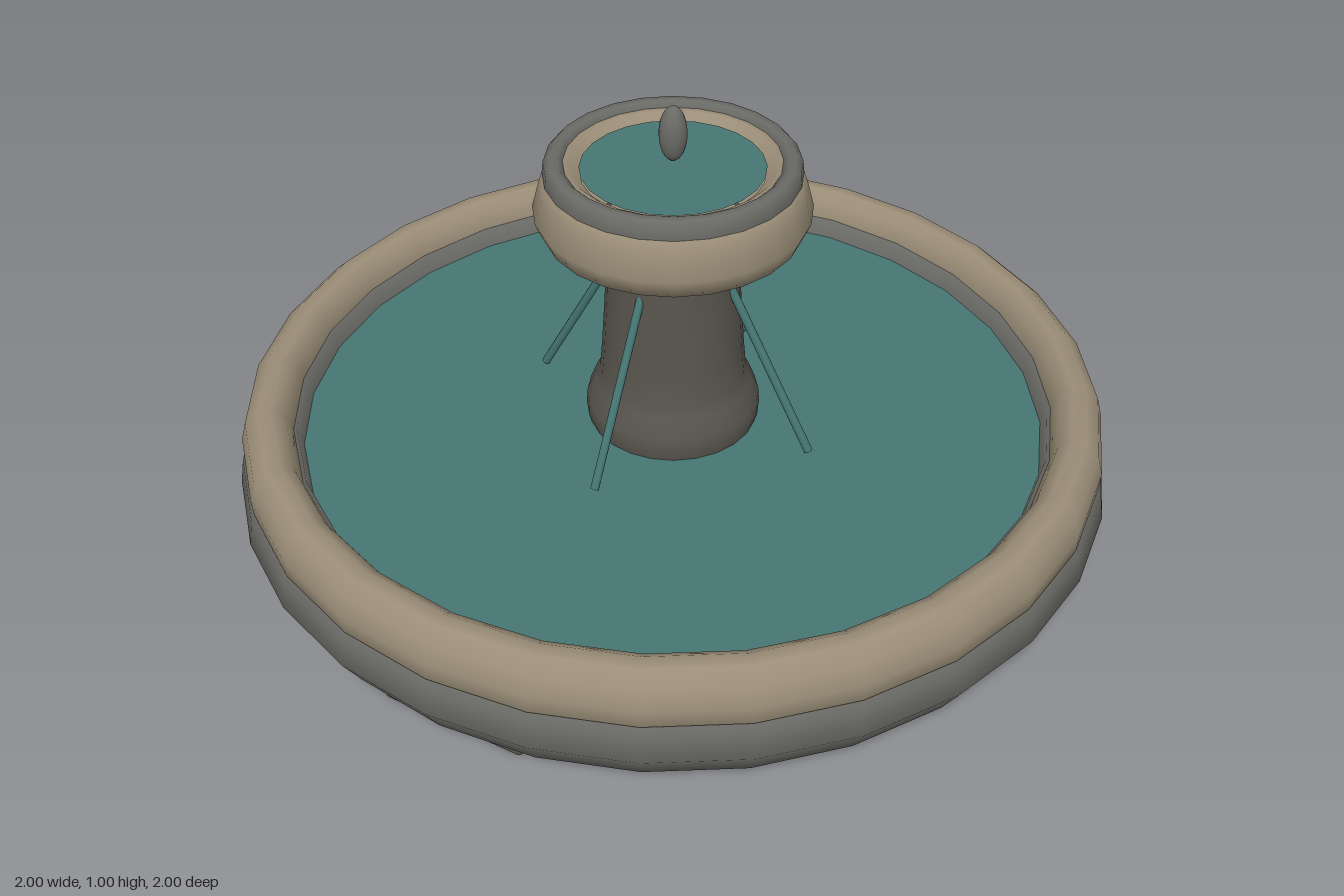
import * as THREE from 'three';
import { RoundedBoxGeometry } from 'three/addons/geometries/RoundedBoxGeometry.js';

const mat = (name, color, side = THREE.FrontSide) => {
  const m = new THREE.MeshStandardMaterial({ color, side });
  m.name = name;
  return m;
};

export function createModel() {
  const root = new THREE.Group();
  root.name = 'fountain';
  const sandstone = mat('sandstone', 0x9b8e78, THREE.DoubleSide);
  const stone = mat('grey stone', 0x6a6b66, THREE.DoubleSide);
  const darkStone = mat('dark stone', 0x58554d, THREE.DoubleSide);
  const water = mat('water', 0x467673, THREE.DoubleSide);

  const add = (name, geometry, material, parent = root) => {
    const mesh = new THREE.Mesh(geometry, material);
    mesh.name = name;
    parent.add(mesh);
    return mesh;
  };
  // Profiles run as [radius, height] from the underside, out, up and back in
  const lathe = (name, profile, segments, material) =>
    add(name, new THREE.LatheGeometry(profile.map(([r, y]) => new THREE.Vector2(r, y)), segments), material);
  const disc = (name, radius, y, segments, material) => {
    const mesh = add(name, new THREE.CircleGeometry(radius, segments).rotateX(-Math.PI / 2), material);
    mesh.position.y = y;
    return mesh;
  };

  // Main basin with a drain hole, and its rounded rim
  lathe('basin', [[0.085, 0.01], [0.5, 0.01], [0.88, 0.012], [0.955, 0.04], [1, 0.115],
    [0.99, 0.175], [0.97, 0.2], [0.9, 0.24], [0.86, 0.25], [0.845, 0.19]], 28, stone);
  lathe('basinRim', [[0.96, 0.17], [0.982, 0.195], [0.984, 0.235], [0.972, 0.28], [0.942, 0.308],
    [0.91, 0.31], [0.882, 0.29], [0.868, 0.25], [0.866, 0.2]], 28, sandstone);
  disc('basinWater', 0.853, 0.205, 28, water);
  lathe('drainWall', [[0.085, 0.01], [0.085, 0.05]], 24, water);
  disc('drainCap', 0.085, 0.05, 24, sandstone);

  // Flared pedestal
  lathe('pedestal', [[0.19, 0.19], [0.2, 0.225], [0.198, 0.26], [0.18, 0.305], [0.167, 0.33], [0.161, 0.4],
    [0.153, 0.52], [0.146, 0.66], [0.149, 0.695], [0.165, 0.715]], 24, darkStone);

  // Upper bowl, its grey lip and the pool inside
  lathe('upperBowl', [[0, 0.71], [0.2, 0.708], [0.285, 0.71], [0.305, 0.757], [0.29, 0.815],
    [0.28, 0.845], [0.24, 0.87], [0.225, 0.868], [0.2, 0.845]], 24, sandstone);
  lathe('upperLip', [[0.277, 0.825], [0.281, 0.84], [0.278, 0.868], [0.266, 0.882],
    [0.248, 0.882], [0.236, 0.87], [0.234, 0.85]], 24, stone);
  disc('upperWater', 0.202, 0.855, 24, water);

  // Finial
  const finial = add('finial', new THREE.SphereGeometry(1, 16, 12), stone);
  finial.scale.set(0.031, 0.065, 0.031);
  finial.position.y = 0.935;

  // Four water jets and four feet around the axis
  const top = new THREE.Vector3(0, 0.6, 0.14);
  const end = new THREE.Vector3(0, 0.215, 0.35);
  for (let i = 0; i < 4; i++) {
    const quarter = new THREE.Group();
    quarter.name = 'quarter' + (i + 1);
    quarter.rotation.y = i * Math.PI / 2;
    root.add(quarter);

    const jet = add('waterJet', new THREE.CylinderGeometry(0.01, 0.01, top.distanceTo(end), 8), water, quarter);
    jet.position.lerpVectors(top, end, 0.5);
    jet.quaternion.setFromUnitVectors(new THREE.Vector3(0, 1, 0), top.clone().sub(end).normalize());

    const foot = add('foot', new RoundedBoxGeometry(0.34, 0.045, 0.12, 2, 0.012), darkStone, quarter);
    foot.position.set(0, 0.0225, 0.86);
  }
  return root;
}
